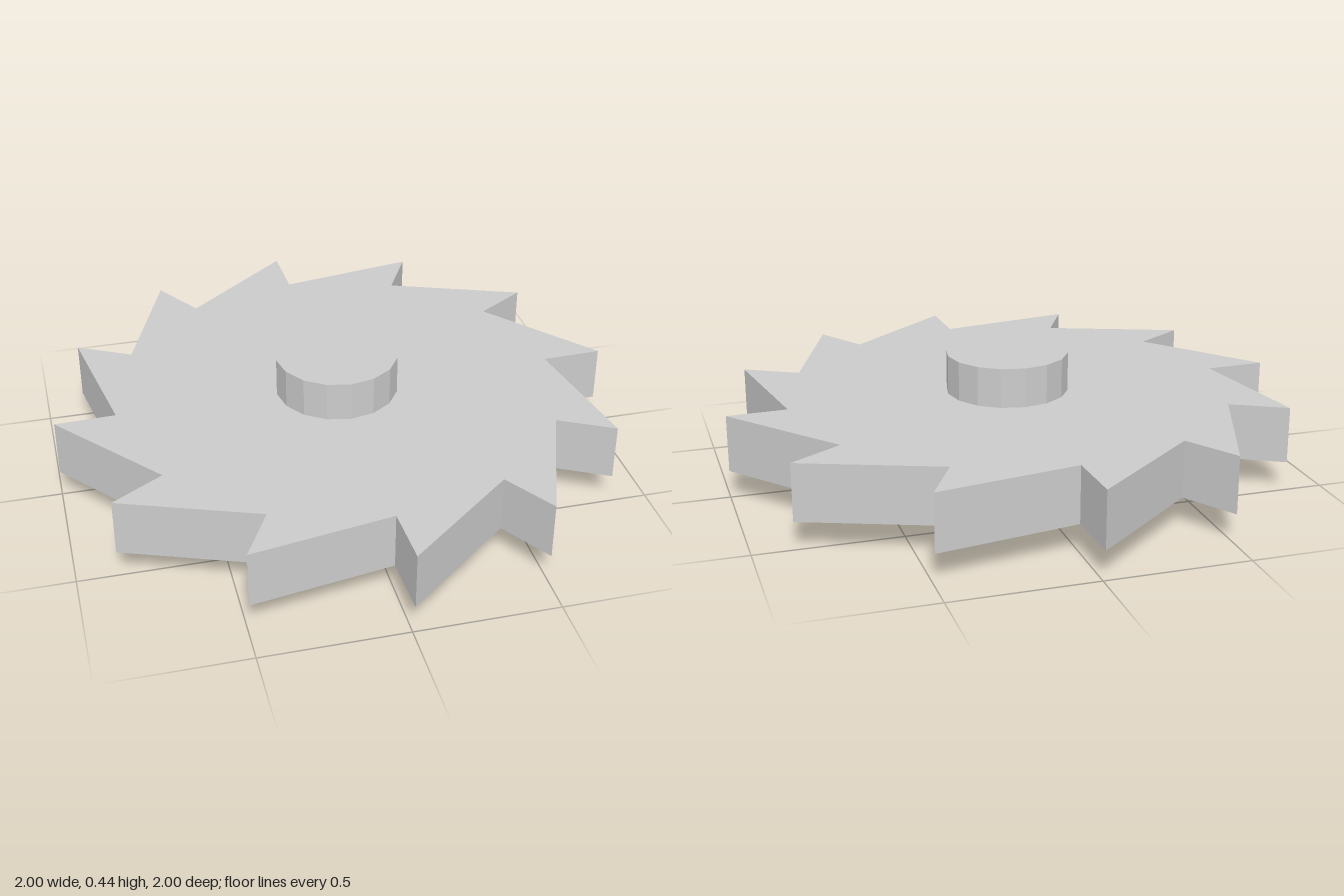
import * as THREE from 'three';

export function createModel() {
  const group = new THREE.Group();
  group.name = 'ratchetWheel';
  const material = new THREE.MeshStandardMaterial({ color: 0xcccccc, flatShading: true });

  // Toothed disc: each tooth has a nearly radial face and a long sloping back
  const teeth = 12, tipRadius = 1, rootRadius = 0.788, lean = 0.007;
  const outline = [];
  for (let i = 0; i < teeth; i++) {
    const a = (i / teeth) * Math.PI * 2;
    outline.push(new THREE.Vector2(Math.cos(a) * rootRadius, Math.sin(a) * rootRadius));
    outline.push(new THREE.Vector2(Math.cos(a + lean) * tipRadius, Math.sin(a + lean) * tipRadius));
  }
  const discGeometry = new THREE.ExtrudeGeometry(new THREE.Shape(outline), { depth: 0.2, bevelEnabled: false });
  discGeometry.rotateX(-Math.PI / 2);
  const disc = new THREE.Mesh(discGeometry, material);
  disc.name = 'toothedDisc';
  disc.position.y = 0.1;
  group.add(disc);

  // Faceted hub passing through the disc
  const hub = new THREE.Mesh(new THREE.CylinderGeometry(0.217, 0.217, 0.44, 16), material);
  hub.name = 'hub';
  hub.position.y = 0.22;
  group.add(hub);

  return group;
}
